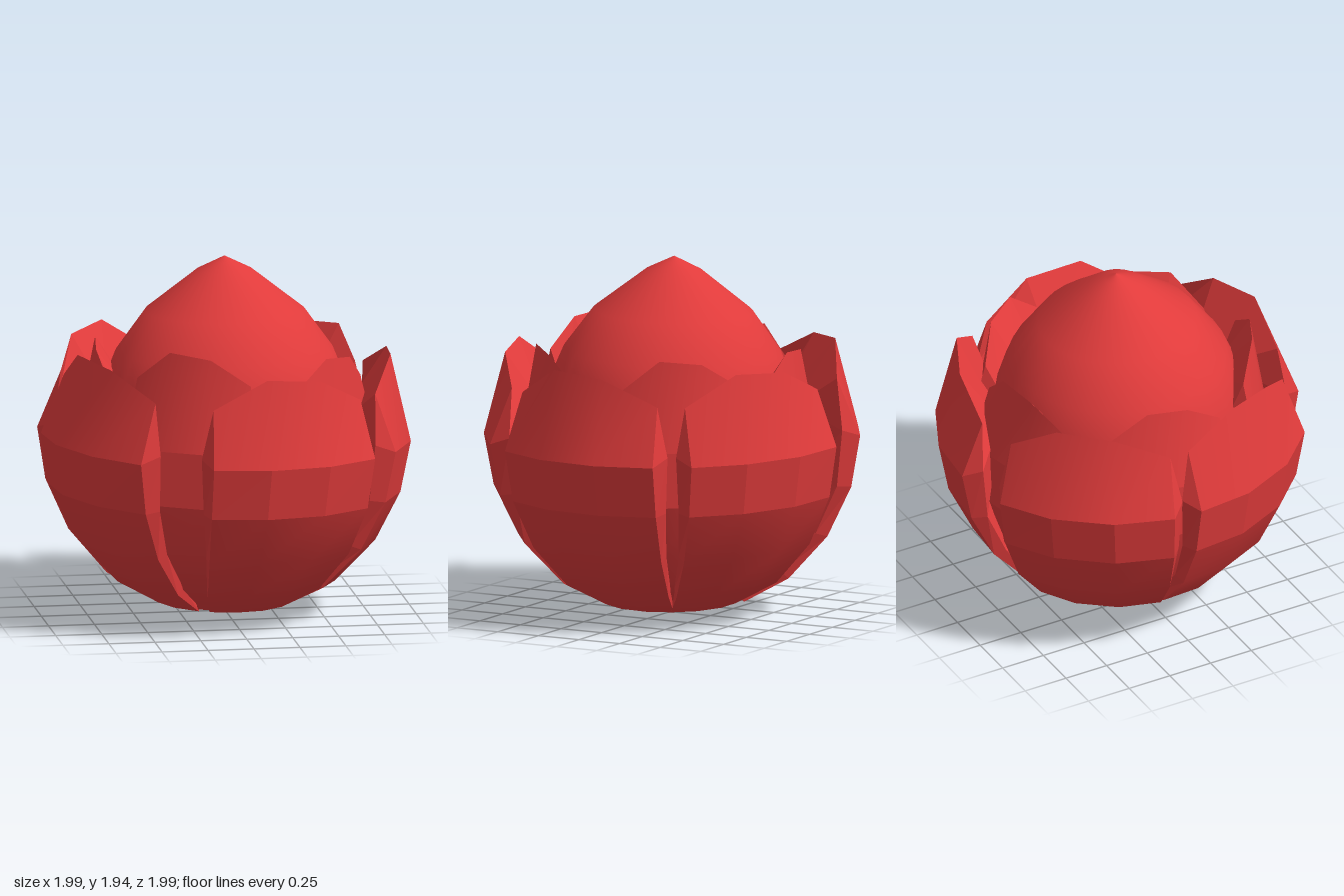
import * as THREE from 'three';
import { mergeGeometries } from 'three/addons/utils/BufferGeometryUtils.js';

const RAD = Math.PI / 180;

// Surface from rows of points; smooth or faceted normals
function sheet(rows, smooth) {
  const n = rows[0].length, pos = rows.flat(2), idx = [];
  for (let r = 0; r < rows.length - 1; r++) {
    for (let c = 0; c < n - 1; c++) {
      const a = r * n + c;
      idx.push(a, a + 1, a + n + 1, a, a + n + 1, a + n);
    }
  }
  let g = new THREE.BufferGeometry();
  g.setAttribute('position', new THREE.Float32BufferAttribute(pos, 3));
  g.setIndex(idx);
  if (smooth) g.computeVertexNormals();
  g = g.toNonIndexed();
  if (!smooth) g.computeVertexNormals();
  return g;
}

// Cross-sections as [radius, height], from the base upward;
// spread and lip widen the rows, lip only at the inner corners of the ends
const OUTER = {
  out: [[0.37, 0.07], [0.61, 0.2], [0.82, 0.43], [0.95, 0.7], [1.0, 0.98]],
  inside: [[0.33, 0.1], [0.52, 0.25], [0.68, 0.46], [0.71, 0.72], [0.66, 1.1]],
  endInside: [[0.34, 0.1], [0.57, 0.24], [0.76, 0.45], [0.88, 0.71], [0.915, 1.02]],
  rim: 0.88, rimSpread: 1.04,
  spread: [1.25, 1.14, 1.06, 1.02, 1], lip: [1, 1.03, 1.06, 1.11, 1.16],
};
const INNER = {
  out: [[0.35, 0.08], [0.57, 0.22], [0.73, 0.45], [0.8, 0.72], [0.8, 1.02]],
  inside: [[0.3, 0.12], [0.47, 0.27], [0.56, 0.48], [0.59, 0.72], [0.58, 1.28]],
  endInside: [[0.3, 0.12], [0.49, 0.27], [0.62, 0.48], [0.65, 0.72], [0.63, 1.16]],
  rim: 0.72, rimSpread: 0.92,
  spread: [1.3, 1.15, 1.06, 1, 0.96], lip: [1, 1.02, 1.03, 1.03, 1.02],
};
const COLUMNS = [-28.5, -10.5, 9.5, 28.5];
const RIM_DROP = [0.165, 0, 0.025, 0.165];

// Thick, cupped petal: smooth lower shell and shoulder, faceted band, rim and ends
function petalGeometry(shape, centre, top) {
  const point = (r, y, c, s) => {
    const a = (centre + COLUMNS[c] * s) * RAD;
    return [r * Math.sin(a), y, r * Math.cos(a)];
  };
  const cols = [0, 1, 2, 3];
  const out = shape.out.map(([r, y], i) => cols.map(c => point(r, y, c, shape.spread[i])));
  const inside = shape.out.map((_, i) => cols.map(c => {
    const isEnd = c % 3 === 0;
    const [r, y] = (isEnd ? shape.endInside : shape.inside)[i];
    return point(r, y, c, shape.spread[i] * (isEnd ? shape.lip[i] : 1));
  }));
  const rim = cols.map(c => point(shape.rim, top - RIM_DROP[c], c, shape.rimSpread));
  const end = (left, right, c) => sheet([...left.map((row, i) => [row[c], right[i][c]]), [rim[c], rim[c]]], false);
  return mergeGeometries([
    sheet(out.slice(0, 4), true),
    sheet([out[3], out[4]], false),
    sheet([out[4], rim], true),
    sheet([rim, ...inside.slice().reverse(), out[0]], false),
    end(inside, out, 0),
    end(out, inside, 3),
  ]);
}

export function createModel() {
  const model = new THREE.Group();
  const red = new THREE.MeshStandardMaterial({ color: 0xe03b3b });
  red.name = 'petal red';
  const add = (parent, name, geometry) => {
    const mesh = new THREE.Mesh(geometry, red);
    mesh.name = name;
    parent.add(mesh);
    return mesh;
  };

  // Pointed central bud, leaning slightly back
  const profile = [[0, 0.005], [0.37, 0.078], [0.52, 0.35], [0.64, 0.7], [0.69, 1.0],
    [0.67, 1.23], [0.585, 1.44], [0.43, 1.655], [0.15, 1.875], [0.06, 1.92], [0, 1.95]];
  const bud = add(model, 'bud', new THREE.LatheGeometry(profile.map(p => new THREE.Vector2(...p)), 32));
  bud.rotation.x = -0.025;
  bud.position.z = 0.022;

  // Two staggered rings of petals, tilted slightly: [angle from the front, height]
  const petals = new THREE.Group();
  petals.name = 'petals';
  petals.rotation.z = -0.022;
  petals.position.x = -0.018;
  model.add(petals);
  [[16, 1.45], [85.5, 1.455], [154.5, 1.45], [231, 1.46], [295.5, 1.465]]
    .forEach(([a, h], i) => add(petals, 'outerPetal' + (i + 1), petalGeometry(OUTER, a, h)));
  [[48, 1.5], [125, 1.51], [191, 1.48], [263, 1.475], [335, 1.55]]
    .forEach(([a, h], i) => add(petals, 'innerPetal' + (i + 1), petalGeometry(INNER, a, h)));
  // The back right petal stands a little further out
  petals.getObjectByName('outerPetal4').position.set(-0.01, 0, -0.03);
  return model;
}
